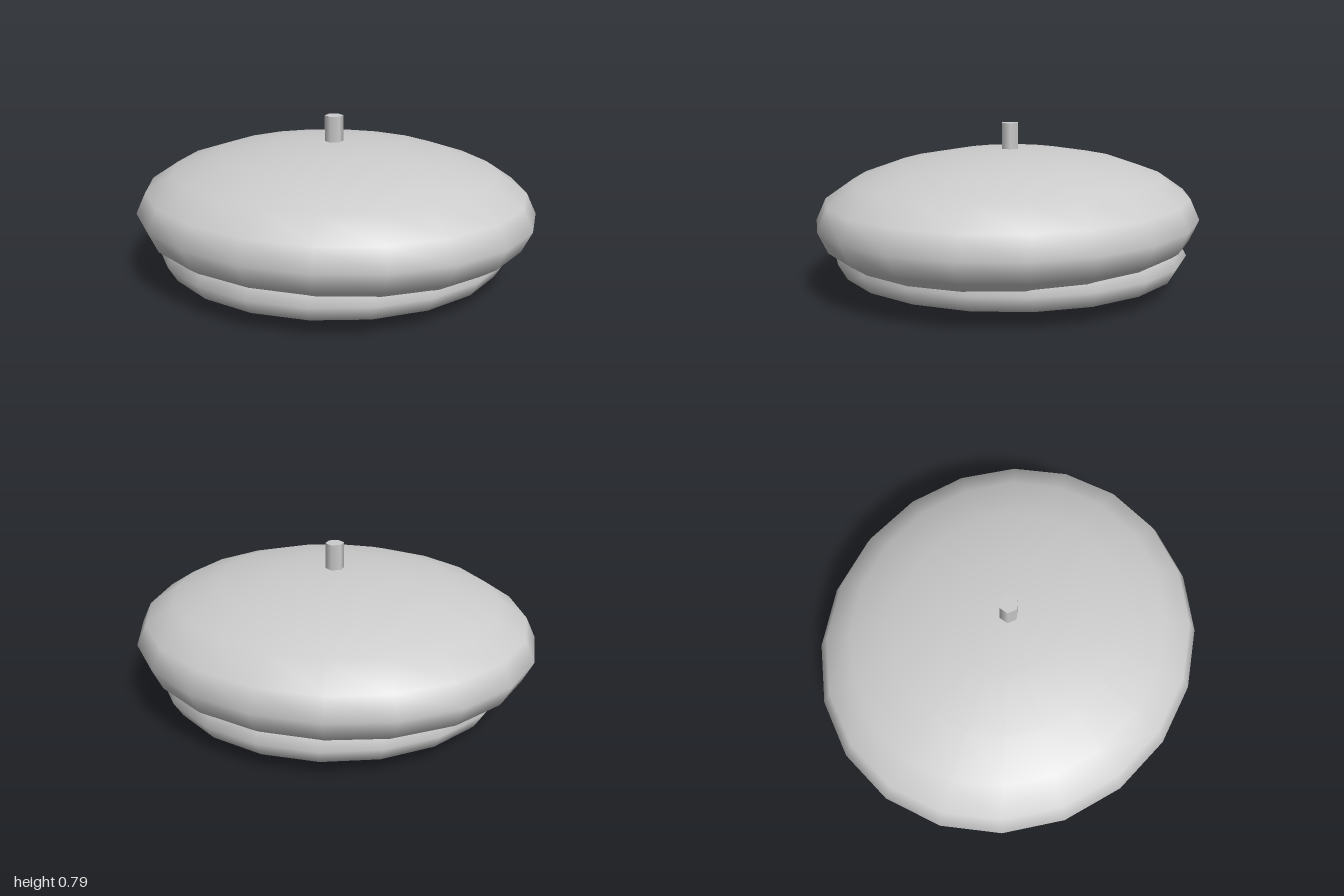
import * as THREE from 'three';

export function createModel() {
  const model = new THREE.Group();
  model.name = 'beret';
  const lightGrey = new THREE.MeshStandardMaterial({ color: 0xcccccc });
  lightGrey.name = 'light grey';

  const add = (name, geometry, y) => {
    const mesh = new THREE.Mesh(geometry, lightGrey);
    mesh.name = name;
    mesh.position.y = y;
    model.add(mesh);
    return mesh;
  };

  // Crown: a flattened ball, slightly narrower front to back
  add('crown', new THREE.SphereGeometry(1, 20, 10), 0.333).scale.set(1, 0.332, 0.924);

  // Headband: a round ring with a six-sided section
  add('headband', new THREE.TorusGeometry(0.79, 0.085, 6, 20).rotateX(Math.PI / 2), 0.16);

  // Stem: a small six-sided stub, sunk into the crown
  add('stem', new THREE.CylinderGeometry(0.046, 0.046, 0.19, 6), 0.695);

  return model;
}
